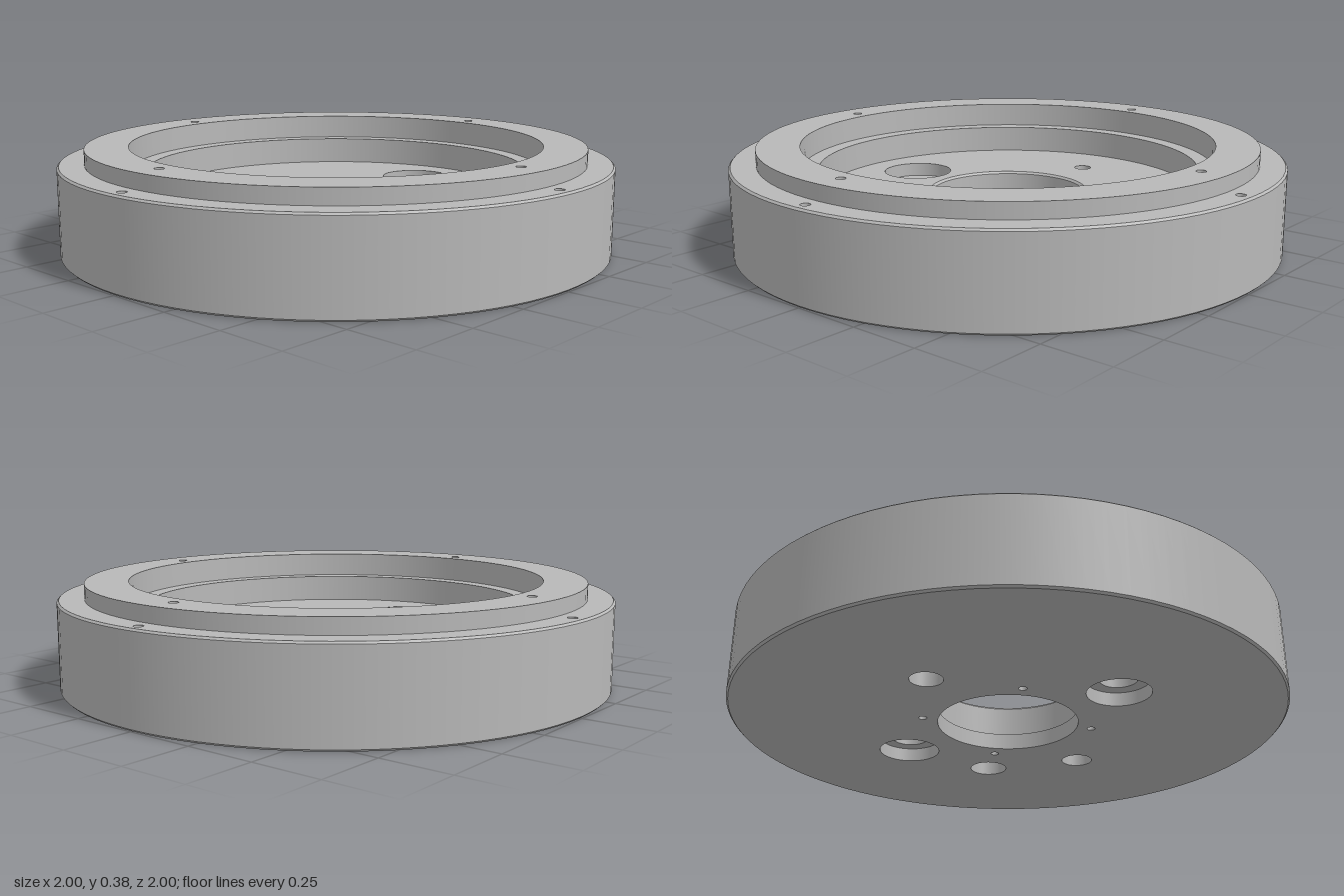
import * as THREE from 'three';

const SEG = 96;
const metal = new THREE.MeshStandardMaterial({ color: 0xb8b8b8 });
metal.name = 'machined grey metal';

export function createModel() {
  const root = new THREE.Group();
  root.name = 'steppedFlange';

  const add = (name, geometry, x = 0, y = 0, z = 0) => {
    const mesh = new THREE.Mesh(geometry, metal);
    mesh.name = name;
    mesh.position.set(x, y, z);
    root.add(mesh);
  };

  // Revolved wall: rising y faces outward, falling y faces the axis
  const wall = (name, r0, y0, r1, y1, x = 0, z = 0) =>
    add(name, new THREE.LatheGeometry(
      [new THREE.Vector2(r0, y0), new THREE.Vector2(r1, y1)], SEG), x, 0, z);

  // Flat round face with holes [x, z, radius] relative to its centre
  const face = (name, y, r, holes = [], up = true, cx = 0, cz = 0) => {
    const shape = new THREE.Shape().absarc(0, 0, r, 0, Math.PI * 2);
    for (const [x, z, hr] of holes) {
      shape.holes.push(new THREE.Path().absarc(x, up ? -z : z, hr, 0, Math.PI * 2));
    }
    const g = new THREE.ShapeGeometry(shape, SEG / 2);
    g.rotateX(up ? -Math.PI / 2 : Math.PI / 2);
    add(name, g, cx, y, cz);
  };

  // Hole positions spaced evenly around a circle
  const ring = (dist, r, start = 0) => [0, 1, 2, 3].map((i) => {
    const a = start + i * Math.PI / 2;
    return [dist * Math.cos(a), dist * Math.sin(a), r];
  });

  // Blind drilled hole, opened at yOpen and closed at yEnd
  const blind = (name, [x, z, r], yOpen, yEnd) => {
    const up = yOpen > yEnd;
    wall(name + 'Wall', r, Math.max(yOpen, yEnd), r, Math.min(yOpen, yEnd), x, z);
    face(name + 'End', yEnd, r, [], up, x, z);
  };

  // Main heights
  const shoulderY = 0.32, topY = 0.375, ledgeY = 0.285, floorY = 0.185, boreLedgeY = 0.06;

  // Outer rim with small edge chamfers
  wall('bottomChamfer', 0.993, 0, 1, 0.007);
  wall('outerWall', 1, 0.007, 1, shoulderY - 0.007);
  wall('shoulderChamfer', 1, shoulderY - 0.007, 0.993, shoulderY);

  // Shoulder and raised collar, each with four blind holes
  const shoulderHoles = ring(0.955, 0.017);
  const collarHoles = ring(0.81, 0.017);
  face('shoulder', shoulderY, 0.993, [[0, 0, 0.905], ...shoulderHoles]);
  wall('collarWall', 0.905, shoulderY, 0.905, topY);
  face('collarTop', topY, 0.905, [[0, 0, 0.75], ...collarHoles]);
  shoulderHoles.forEach((h) => blind('shoulderHole', h, shoulderY, shoulderY - 0.12));
  collarHoles.forEach((h) => blind('collarHole', h, topY, topY - 0.12));

  // Stepped recess
  wall('upperRecessWall', 0.75, topY, 0.75, ledgeY);
  face('recessLedge', ledgeY, 0.75, [[0, 0, 0.69]]);
  wall('lowerRecessWall', 0.69, ledgeY, 0.69, floorY);

  // Recess floor and underside
  const side = 0.467, diag = 0.338;
  const cableHole = [diag, diag, 0.07];
  const bottomHoles = ring(0.31, 0.015, Math.PI / 4);
  face('recessFloor', floorY, 0.69, [
    [0, 0, 0.29], cableHole,
    [side, 0, 0.13], [-side, 0, 0.13],
    [0, side, 0.032], [0, -side, 0.032],
  ]);
  face('underside', 0, 0.993, [
    [0, 0, 0.255], cableHole, ...bottomHoles,
    [side, 0, 0.113], [-side, 0, 0.113],
    [0, side, 0.058], [0, -side, 0.058],
  ], false);
  bottomHoles.forEach((h) => blind('undersideHole', h, 0, 0.08));
  wall('cableHoleWall', 0.07, floorY, 0.07, 0, diag, diag);

  // Central bore with an inner ledge
  wall('boreChamfer', 0.29, floorY, 0.282, floorY - 0.008);
  wall('boreWall', 0.282, floorY - 0.008, 0.282, boreLedgeY);
  face('boreLedge', boreLedgeY, 0.282, [[0, 0, 0.255]]);
  wall('boreLowerWall', 0.255, boreLedgeY, 0.255, 0);

  for (const s of [-1, 1]) {
    // Side pockets, counterbored from both faces
    const x = s * side, upperY = 0.135, lowerY = 0.05;
    const screws = ring(0.095, 0.017);
    wall('pocketWall', 0.13, floorY, 0.13, upperY, x);
    face('pocketFloor', upperY, 0.13, [[0, 0, 0.067], ...screws], true, x);
    wall('pocketThroughWall', 0.067, upperY, 0.067, lowerY, x);
    face('lowerPocketFace', lowerY, 0.113, [[0, 0, 0.067]], false, x);
    wall('lowerPocketWall', 0.113, lowerY, 0.113, 0, x);
    screws.forEach(([dx, dz, r]) => blind('pocketScrewHole', [x + dx, dz, r], upperY, 0.075));

    // Bolt holes, counterbored from below
    const z = s * side, seatY = 0.1;
    wall('boltHoleWall', 0.032, floorY, 0.032, seatY, 0, z);
    face('boltSeat', seatY, 0.058, [[0, 0, 0.032]], false, 0, z);
    wall('boltCounterboreWall', 0.058, seatY, 0.058, 0, 0, z);
  }

  return root;
}
